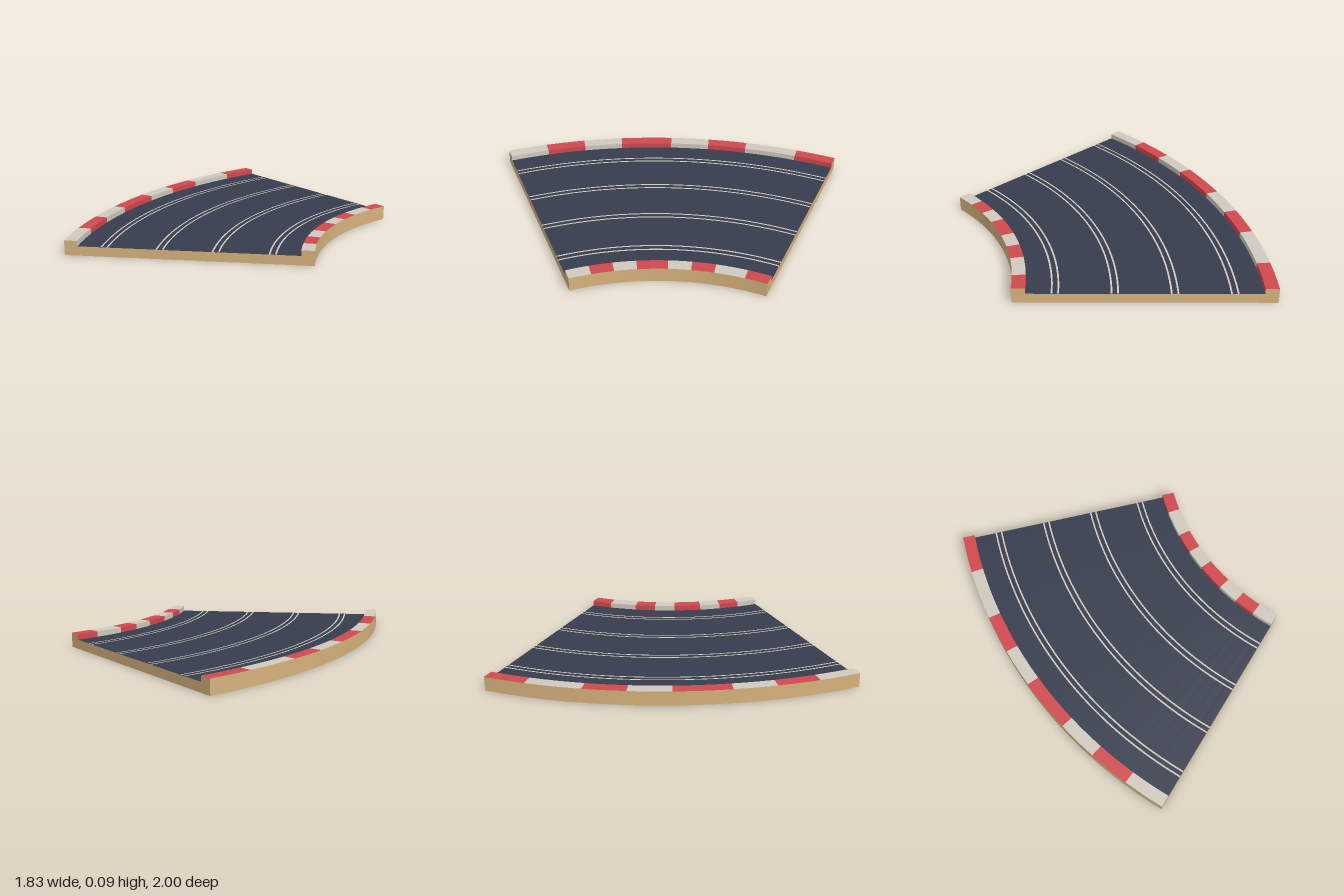
import * as THREE from 'three';
import { mergeGeometries } from 'three/addons/utils/BufferGeometryUtils.js';

// Bend: 45 degrees in 26 steps around a pivot at (PIVOT_X, PIVOT_Z)
const PIVOT_X = 1.914, PIVOT_Z = -1;
const STEPS = 26, STEP = Math.PI / 4 / STEPS;
const R_IN = 1.414, R_OUT = 2.828, KERB = 0.075;
const ROAD_Y = 0.055, KERB_Y = 0.087;

// Sweeps one straight profile edge, from [r, y] to [r, y], along part of the bend
function sweep([r0, y0], [r1, y1], from = 0, to = STEPS) {
  const positions = [], index = [];
  for (let i = from; i <= to; i++) {
    const c = Math.cos(i * STEP), s = Math.sin(i * STEP);
    positions.push(PIVOT_X - r0 * c, y0, PIVOT_Z + r0 * s);
    positions.push(PIVOT_X - r1 * c, y1, PIVOT_Z + r1 * s);
    if (i < to) {
      const k = (i - from) * 2;
      index.push(k, k + 1, k + 2, k + 1, k + 3, k + 2);
    }
  }
  const geometry = new THREE.BufferGeometry();
  geometry.setAttribute('position', new THREE.Float32BufferAttribute(positions, 3));
  geometry.setIndex(index);
  geometry.computeVertexNormals();
  return geometry;
}

// Flat end face with the raised kerbs in its outline
function endFace(side, angle) {
  const outline = [
    [R_IN, 0], [R_OUT, 0], [R_OUT, KERB_Y], [R_OUT - KERB, KERB_Y],
    [R_OUT - KERB, ROAD_Y], [R_IN + KERB, ROAD_Y], [R_IN + KERB, KERB_Y], [R_IN, KERB_Y],
  ];
  const shape = new THREE.Shape(outline.map(([r, y]) => new THREE.Vector2(side * r, y)));
  return new THREE.ShapeGeometry(shape).rotateY(angle).translate(PIVOT_X, 0, PIVOT_Z);
}

export function createModel() {
  const wood = new THREE.MeshStandardMaterial({ name: 'wood', color: 0xd6b27c });
  const asphalt = new THREE.MeshStandardMaterial({ name: 'asphalt', color: 0x363c4d });
  const red = new THREE.MeshStandardMaterial({ name: 'kerbRed', color: 0xd0484e });
  const white = new THREE.MeshStandardMaterial({ name: 'kerbWhite', color: 0xcfc9be });

  const group = new THREE.Group();
  group.name = 'curvedTrackPiece';
  const add = (name, geometry, material) => {
    const mesh = new THREE.Mesh(geometry, material);
    mesh.name = name;
    group.add(mesh);
  };

  // Wooden body: side walls, underside and both ends
  add('outerWall', sweep([R_OUT, KERB_Y], [R_OUT, 0]), wood);
  add('innerWall', sweep([R_IN, 0], [R_IN, KERB_Y]), wood);
  add('underside', sweep([R_OUT, 0], [R_IN, 0]), wood);
  add('backEnd', endFace(1, Math.PI), wood);
  add('frontEnd', endFace(-1, Math.PI / 4), wood);

  // Road surface
  add('road', sweep([R_IN + KERB, ROAD_Y], [R_OUT - KERB, ROAD_Y]), asphalt);

  // Four lanes, each marked by a pair of thin lines
  for (let lane = 0; lane < 4; lane++) {
    const middle = 1.645 + lane * 0.317;
    const lines = [-0.0175, 0.0175].map((offset) => {
      const r = middle + offset, y = ROAD_Y + 0.0015;
      return sweep([r - 0.005, y], [r + 0.005, y]);
    });
    add('laneLines' + (lane + 1), mergeGeometries(lines), white);
  }

  // Kerbs: alternating blocks, each with a top and a wall facing the road
  const breaks = [0, 3, 7, 10, 13, 17, 20, 23, 26];
  for (let i = 0; i < breaks.length - 1; i++) {
    const a = breaks[i], b = breaks[i + 1];
    const paint = i % 2 ? white : red;
    const ri = R_IN + KERB, ro = R_OUT - KERB;
    add('innerKerb' + (i + 1), mergeGeometries([
      sweep([R_IN, KERB_Y], [ri, KERB_Y], a, b),
      sweep([ri, KERB_Y], [ri, ROAD_Y], a, b),
    ]), paint);
    add('outerKerb' + (i + 1), mergeGeometries([
      sweep([ro, ROAD_Y], [ro, KERB_Y], a, b),
      sweep([ro, KERB_Y], [R_OUT, KERB_Y], a, b),
    ]), paint);
  }
  return group;
}
